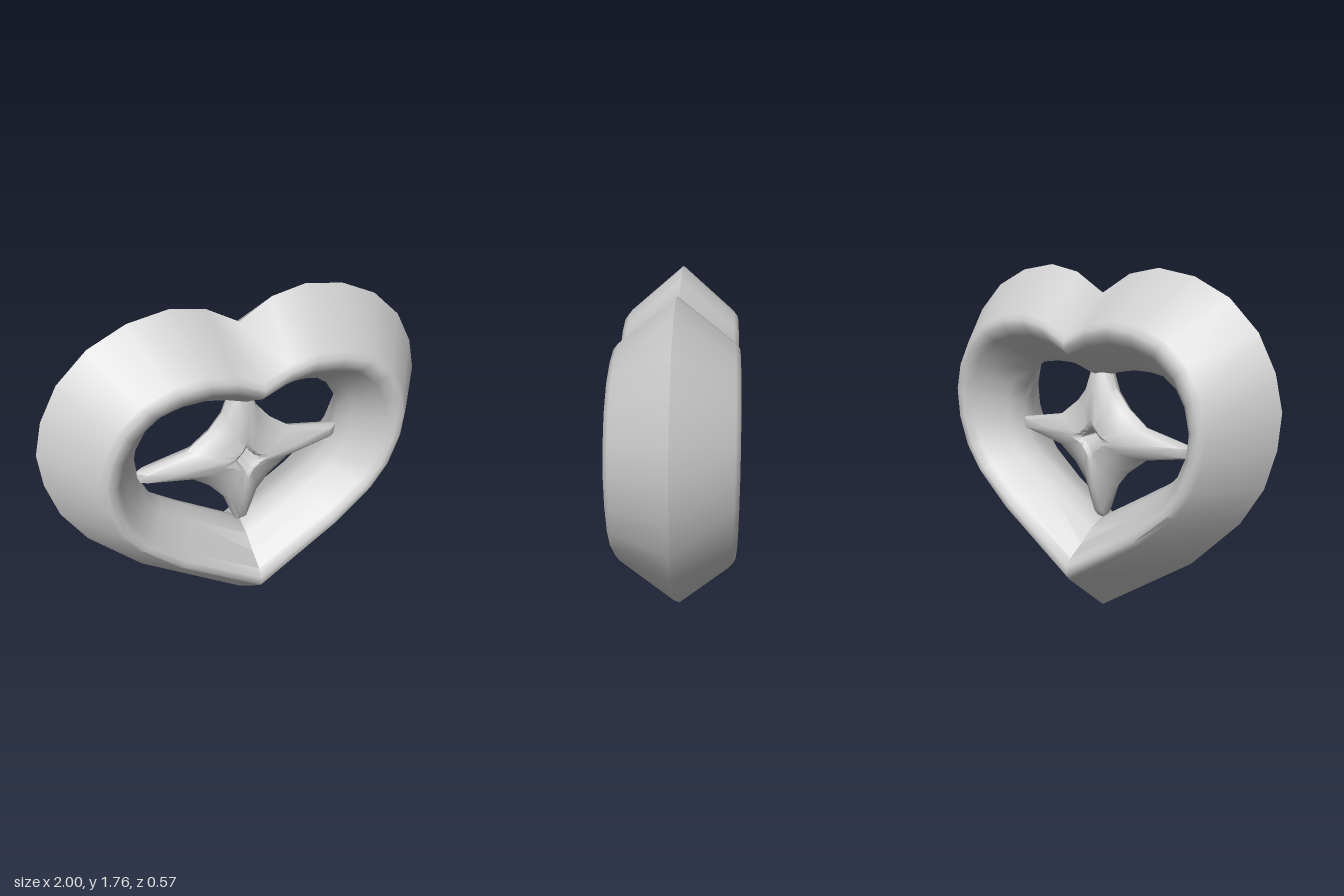
import * as THREE from 'three';
import { toCreasedNormals } from 'three/addons/utils/BufferGeometryUtils.js';

// Closed ring lofted between an outer and an inner outline (both clockwise).
// profile: [t, z] from the outer edge (t = 0) to the inner edge (t = 1), mirrored to the back.
function ringGeometry(outer, inner, profile, crease) {
  const back = profile.slice().reverse().filter(([, z]) => z > 0).map(([t, z]) => [t, -z]);
  const section = [...profile, ...back];
  const n = outer.length, m = section.length;
  const positions = [], index = [];
  for (let i = 0; i < n; i++) {
    for (const [t, z] of section) {
      positions.push(
        THREE.MathUtils.lerp(outer[i][0], inner[i][0], t),
        THREE.MathUtils.lerp(outer[i][1], inner[i][1], t),
        z
      );
    }
    for (let j = 0; j < m; j++) {
      const i2 = (i + 1) % n, j2 = (j + 1) % m;
      const a = i * m + j, b = i2 * m + j, c = i2 * m + j2, d = i * m + j2;
      index.push(a, d, c, a, c, b);
    }
  }
  const geometry = new THREE.BufferGeometry();
  geometry.setAttribute('position', new THREE.Float32BufferAttribute(positions, 3));
  geometry.setIndex(index);
  return toCreasedNormals(geometry, crease);
}

// Completes a right half running from top centre to bottom centre
const mirrorHalf = (half) => [
  ...half,
  ...half.slice(1, -1).reverse().map(([x, y]) => [-x, y]),
];

// Repeats a top-to-right quadrant clockwise around a centre height
function fourQuadrants(quadrant, cy) {
  return [[1, 1], [1, -1], [-1, -1], [-1, 1]].flatMap(([sx, sy], k) => {
    const points = k % 2 ? quadrant.slice().reverse() : quadrant;
    return points.map(([x, y]) => [x * sx, cy + y * sy]);
  });
}

export function createModel() {
  const group = new THREE.Group();
  const grey = new THREE.MeshStandardMaterial({ color: 0xcccccc });
  grey.name = 'light grey';

  const add = (name, geometry) => {
    const mesh = new THREE.Mesh(geometry, grey);
    mesh.name = name;
    group.add(mesh);
  };

  // Heart-shaped ring with a sharp outer ridge and a rounded inner wall
  const heartOuter = mirrorHalf([
    [0, 1.63], [0.165, 1.725], [0.335, 1.757], [0.535, 1.725], [0.72, 1.64],
    [0.87, 1.5], [0.96, 1.335], [1, 1.17], [0.985, 1], [0.93, 0.815],
    [0.815, 0.63], [0.555, 0.37], [0, 0],
  ]);
  const heartInner = mirrorHalf([
    [0, 1.22], [0.1, 1.25], [0.2, 1.27], [0.3, 1.27], [0.4, 1.255],
    [0.48, 1.2], [0.53, 1.12], [0.55, 1.03], [0.54, 0.92], [0.49, 0.81],
    [0.43, 0.75], [0.3, 0.67], [0, 0.49],
  ]);
  const heartProfile = [
    [0, 0], [0.46, 0.263], [0.52, 0.286], [0.6, 0.284],
    [0.68, 0.25], [0.79, 0.17], [0.92, 0.09], [1, 0],
  ];
  add('heartRing', ringGeometry(heartOuter, heartInner, heartProfile, 0.9));

  // Four-pointed star with a small diamond hole, its tips set into the ring
  const starOuter = fourQuadrants(
    [[0.025, 0.43], [0.09, 0.255], [0.165, 0.165], [0.28, 0.08], [0.56, 0.025]], 0.915
  );
  const starInner = fourQuadrants(
    [[0.003, 0.07], [0.018, 0.045], [0.032, 0.032], [0.045, 0.018], [0.07, 0.003]], 0.915
  );
  const starProfile = [[0, 0], [0.12, 0.04], [0.5, 0.08], [0.9, 0.1], [1, 0.085]];
  add('star', ringGeometry(starOuter, starInner, starProfile, 0.9));

  return group;
}
